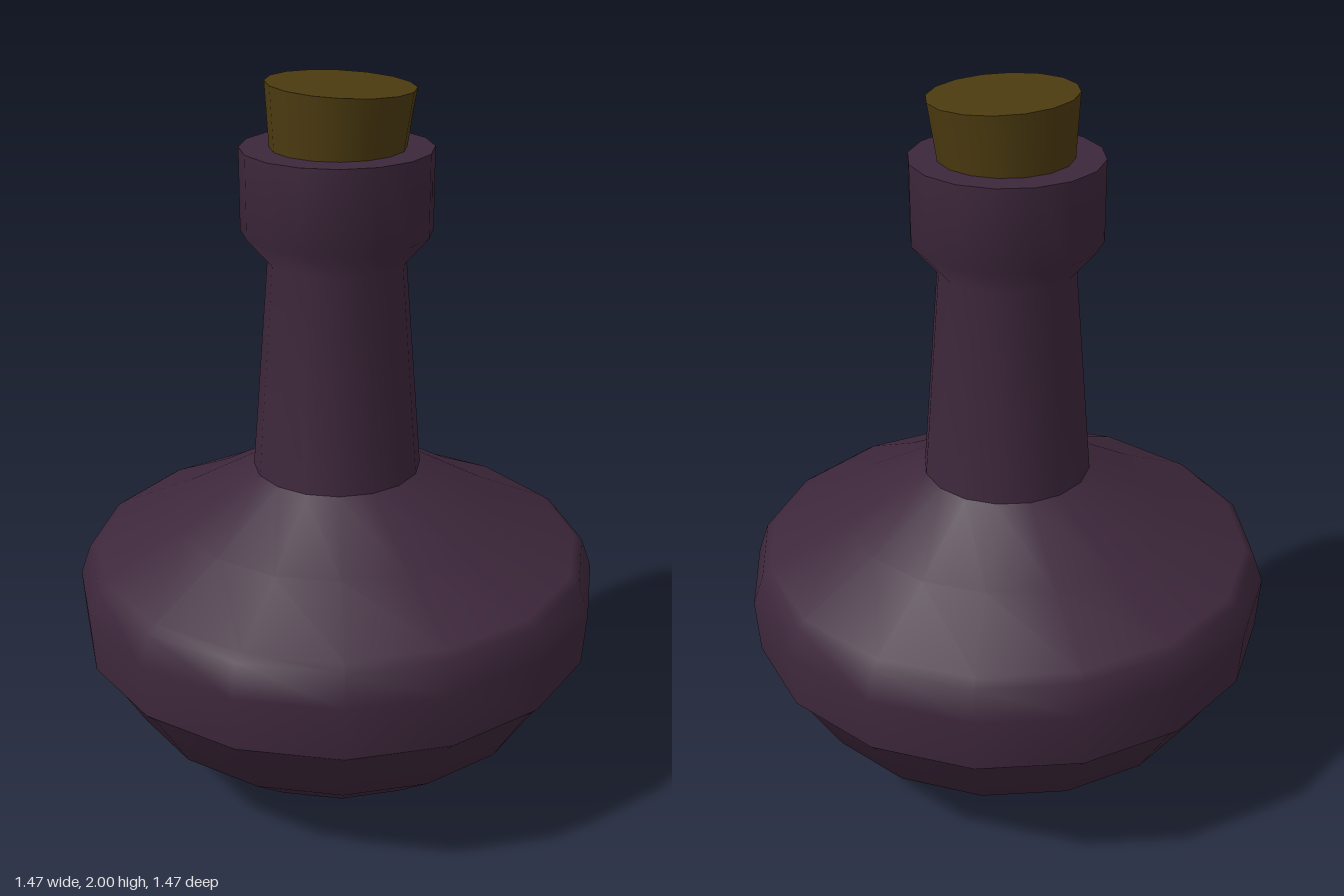
import * as THREE from 'three';

const SIDES = 16;

// Smooth surface of revolution; separate meshes give sharp edges between them
function turned(name, profile, material) {
  const points = profile.map(([r, y]) => new THREE.Vector2(r, y));
  const mesh = new THREE.Mesh(new THREE.LatheGeometry(points, SIDES), material);
  mesh.name = name;
  return mesh;
}

export function createModel() {
  const glass = new THREE.MeshStandardMaterial({ name: 'dark purple glass', color: 0x3d273b });
  const corkBrown = new THREE.MeshStandardMaterial({ name: 'cork brown', color: 0x4c3b10 });

  const model = new THREE.Group();
  model.name = 'bottle';

  // Bottle, from the base upwards
  model.add(
    turned('lowerBody', [[0, 0], [0.26, 0], [0.42, 0.105], [0.59, 0.24], [0.695, 0.415], [0.725, 0.445]], glass),
    turned('upperBody', [[0.725, 0.445], [0.735, 0.6], [0.705, 0.685], [0.68, 0.702], [0.46, 0.807], [0.232, 0.94]], glass),
    turned('neck', [[0.232, 0.94], [0.185, 1.53], [0.255, 1.61], [0.255, 1.83]], glass),
    turned('lip', [[0.255, 1.83], [0.14, 1.83]], glass),
  );

  // Cork, slightly tilted in the mouth
  const cork = new THREE.Mesh(new THREE.CylinderGeometry(0.196, 0.17, 0.24, SIDES), corkBrown);
  cork.name = 'cork';
  cork.position.set(0.004, 1.87, 0);
  cork.rotation.z = -0.05;
  model.add(cork);

  return model;
}
